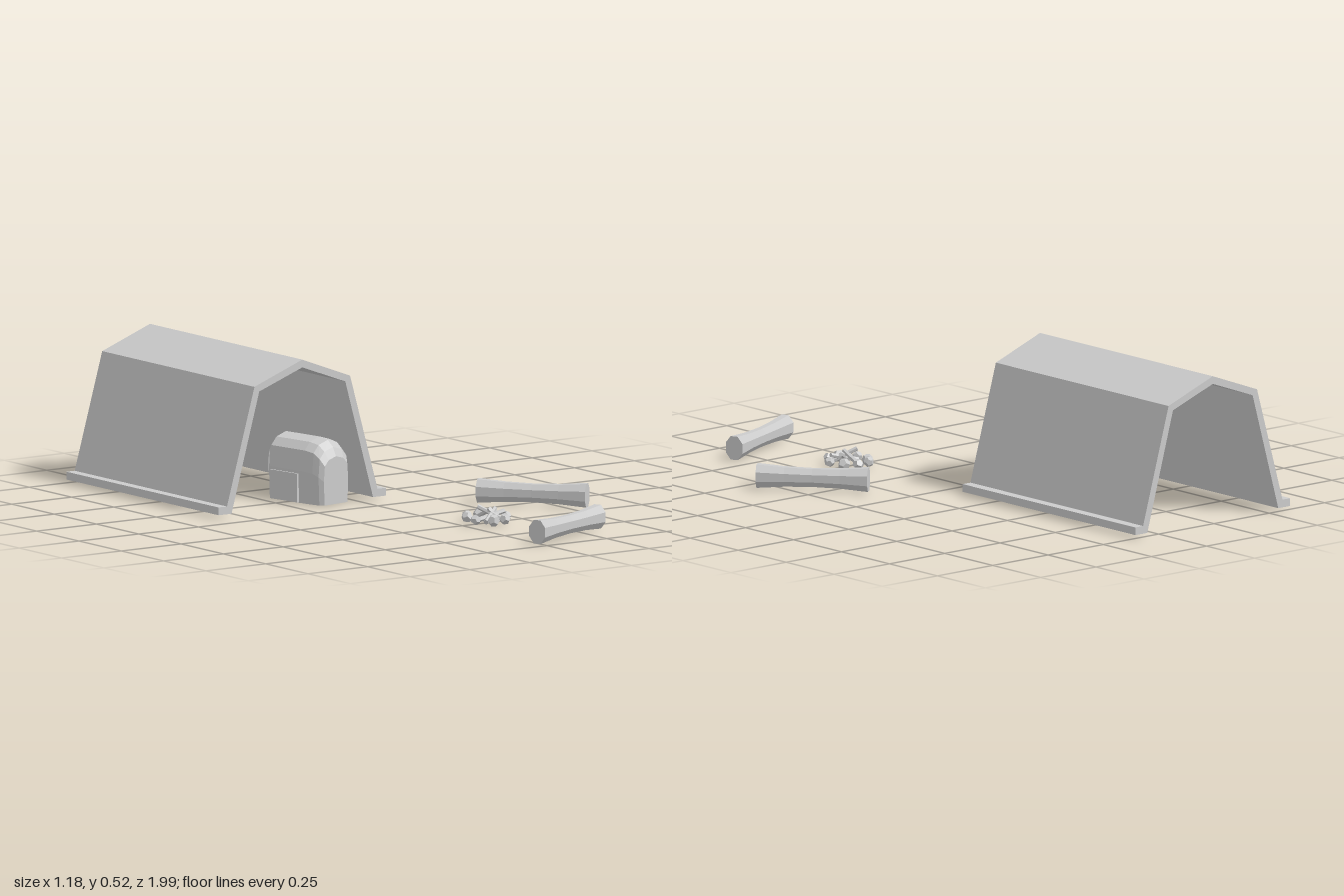
import * as THREE from 'three';

const mat = new THREE.MeshStandardMaterial({ color: 0xcccccc, flatShading: true });

function add(parent, name, geometry, x = 0, y = 0, z = 0) {
  const mesh = new THREE.Mesh(geometry, mat);
  mesh.name = name;
  mesh.position.set(x, y, z);
  parent.add(mesh);
  return mesh;
}

// Skin over arched cross-sections given as [z, width, height], back to front
function loftArch(rings) {
  const half = [[0.47, 0], [0.5, 0.5], [0.46, 0.82], [0.3, 0.94]];
  const arch = [...half, [0, 1], ...half.slice().reverse().map(([x, y]) => [-x, y])];
  const n = arch.length, pos = [], idx = [];
  for (const [z, w, h] of rings) for (const [x, y] of arch) pos.push(x * w, y * h, z);
  for (let i = 0; i < rings.length - 1; i++) {
    for (let j = 0; j < n; j++) {
      const a = i * n + j, b = i * n + (j + 1) % n;
      idx.push(a, b, b + n, a, b + n, a + n);
    }
  }
  const f = (rings.length - 1) * n;
  for (let k = 1; k < n - 1; k++) idx.push(0, k + 1, k, f, f + k, f + k + 1);
  const g = new THREE.BufferGeometry();
  g.setAttribute('position', new THREE.Float32BufferAttribute(pos, 3));
  g.setIndex(idx);
  g.computeVertexNormals();
  return g;
}

// Log with a waist, lying between two ground points
function makeLog(parent, name, [x1, z1], [x2, z2]) {
  const length = Math.hypot(x2 - x1, z2 - z1);
  const g = new THREE.CylinderGeometry(1, 1, length, 8, 4);
  g.rotateY(Math.PI / 8);
  const p = g.attributes.position, apothem = Math.cos(Math.PI / 8);
  for (let i = 0; i < p.count; i++) {
    const t = Math.abs(p.getY(i)) / (length / 2);
    const s = (0.76 + 0.24 * t * t) / apothem;
    p.setX(i, p.getX(i) * 0.032 * s);
    p.setZ(i, p.getZ(i) * 0.041 * s);
  }
  g.rotateX(Math.PI / 2);
  g.computeVertexNormals();
  const log = add(parent, name, g, (x1 + x2) / 2, 0.042, (z1 + z2) / 2);
  log.rotation.y = Math.atan2(x2 - x1, z2 - z1);
}

function makeTent() {
  // Right half of the folded sheet, outer edge then inner edge, about the ridge line
  const outer = [[0, 0.515], [0.2, 0.44], [0.315, 0.037], [0.35, 0.037], [0.35, 0.01]];
  const inner = [[0.296, 0.01], [0.18, 0.422], [0, 0.488]];
  const right = [...outer, ...inner];
  const left = right.slice(1, -1).reverse().map(([x, y]) => [-x, y]);
  const shape = new THREE.Shape([...right, ...left].map(([x, y]) => new THREE.Vector2(x, y)));
  return new THREE.ExtrudeGeometry(shape, { depth: 0.9, bevelEnabled: false });
}

function makeBackpack() {
  const bag = new THREE.Group();
  bag.name = 'backpack';
  add(bag, 'bagBody', loftArch([
    [-0.13, 0.125, 0.205], [-0.11, 0.155, 0.224], [0.05, 0.155, 0.224],
    [0.09, 0.15, 0.217], [0.115, 0.14, 0.195], [0.13, 0.118, 0.165],
  ]));
  for (const s of [-1, 1]) {
    add(bag, 'sidePocket', new THREE.BoxGeometry(0.016, 0.1, 0.13), s * 0.075, 0.052, -0.04);
    // Shoulder strap down the back
    const path = new THREE.CatmullRomCurve3([
      [0.03, 0.19, -0.125], [0.036, 0.165, -0.143], [0.042, 0.1, -0.146], [0.045, 0.03, -0.125],
    ].map(([x, y, z]) => new THREE.Vector3(s * x, y, z)));
    add(bag, 'shoulderStrap', new THREE.TubeGeometry(path, 8, 0.008, 4));
  }
  bag.position.set(-0.12, 0, -0.237);
  bag.rotation.y = 0.175;
  return bag;
}

function makeCampfire() {
  const fire = new THREE.Group();
  fire.name = 'campfire';
  const stones = [[0.065, 0.435], [0.12, 0.427], [0.155, 0.46], [0.167, 0.522],
    [0.13, 0.568], [0.08, 0.573], [0.037, 0.527], [0.045, 0.465]];
  stones.forEach(([x, z], i) => {
    const stone = add(fire, 'stone', new THREE.DodecahedronGeometry(0.018 + 0.002 * (i % 3)), x, 0.019, z);
    stone.rotation.set(i * 0.7, i * 1.3, i * 0.4);
  });
  // Crossed sticks, each from its low end to its raised end
  const sticks = [
    [[0.05, 0.012, 0.51], [0.155, 0.04, 0.53]],
    [[0.1, 0.012, 0.445], [0.1, 0.05, 0.525]],
    [[0.06, 0.012, 0.555], [0.14, 0.045, 0.495]],
    [[0.14, 0.012, 0.545], [0.07, 0.058, 0.49]],
  ];
  for (const [a, b] of sticks) {
    const from = new THREE.Vector3(...a), to = new THREE.Vector3(...b);
    const dir = to.clone().sub(from);
    const stick = add(fire, 'stick', new THREE.CylinderGeometry(0.008, 0.009, dir.length(), 6));
    stick.position.copy(from).add(to).multiplyScalar(0.5);
    stick.quaternion.setFromUnitVectors(new THREE.Vector3(0, 1, 0), dir.normalize());
  }
  return fire;
}

export function createModel() {
  const camp = new THREE.Group();
  camp.name = 'campsite';
  add(camp, 'tent', makeTent(), -0.245, 0, -1);
  camp.add(makeBackpack(), makeCampfire());
  makeLog(camp, 'frontLog', [-0.015, 0.963], [0.34, 0.82]);
  makeLog(camp, 'sideLog', [0.315, 0.148], [0.56, 0.447]);
  return camp;
}
